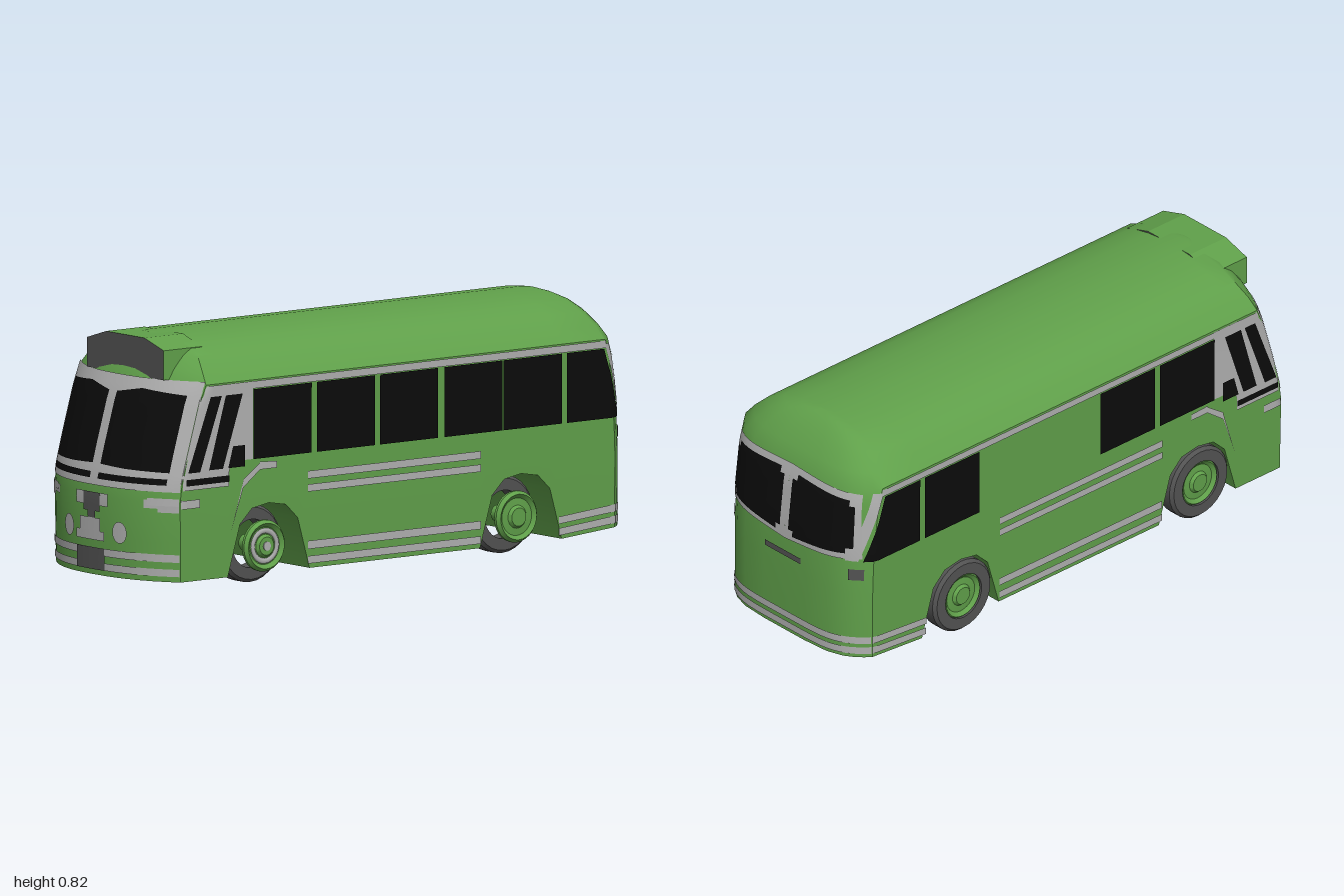
import * as THREE from 'three';
import { toCreasedNormals } from 'three/addons/utils/BufferGeometryUtils.js';

const mat = (name, color) => {
  const m = new THREE.MeshStandardMaterial({ color });
  m.name = name;
  return m;
};

// Body levels: y, half width, nose z, tail z, front corner depth, rear corner depth
const LEVELS = [
  [0.04, 0.325, 0.996, -1.0, 0.1, 0.09],
  [0.30, 0.327, 1.0, -1.0, 0.1, 0.09],
  [0.36, 0.327, 0.992, -0.998, 0.1, 0.09],
  [0.46, 0.327, 0.965, -0.993, 0.1, 0.09],
  [0.62, 0.327, 0.918, -0.975, 0.1, 0.09],
  [0.68, 0.328, 0.893, -0.957, 0.1, 0.09],
  [0.72, 0.296, 0.873, -0.935, 0.09, 0.08],
  [0.765, 0.25, 0.845, -0.90, 0.08, 0.07],
  [0.795, 0.19, 0.82, -0.87, 0.06, 0.05],
  [0.812, 0.11, 0.80, -0.845, 0.04, 0.03],
  [0.82, 0.03, 0.78, -0.825, 0.02, 0.02],
];
const FP = 2.5, BP = 5; // roundness of the nose and tail in plan
const WHEELS = { front: 0.54, rear: -0.51 };

function level(y) {
  let i = 0;
  while (i < LEVELS.length - 2 && y > LEVELS[i + 1][0]) i++;
  const a = LEVELS[i], b = LEVELS[i + 1];
  const t = THREE.MathUtils.clamp((y - a[0]) / (b[0] - a[0]), 0, 1);
  const [, w, nose, tail, cf, cb] = a.map((v, k) => v + (b[k] - v) * t);
  return { w, nose, tail, cf, cb };
}

// Point on the body skin; a is x on the front and back, z on the sides
function skin(face, a, y, off) {
  const { w, nose, tail, cf, cb } = level(y);
  if (face === 'front' || face === 'back') {
    const f = Math.min(Math.abs(a) / w, 1);
    return face === 'front'
      ? [a, y, nose - cf * f ** FP + off]
      : [a, y, tail + cb * f ** BP - off];
  }
  let x = w;
  if (a > nose - cf) x = w * (Math.max(nose - a, 0) / cf) ** (1 / FP);
  if (a < tail + cb) x = w * (Math.max(a - tail, 0) / cb) ** (1 / BP);
  return [(face === 'left' ? 1 : -1) * (x + off), y, a];
}

function bodyGeometry() {
  // Half outline from the middle of the nose round to the middle of the tail
  const half = [0, 0.2, 0.4, 0.6, 0.75, 0.88, 1].map((f) => ({ face: 'front', f, b: 0.04 }));
  const arch = [[0.17, 0.04], [0.12, 0.21], [0.07, 0.258], [0, 0.27], [-0.07, 0.258], [-0.12, 0.21], [-0.17, 0.04]];
  for (const z of Object.values(WHEELS))
    for (const [dz, b] of arch) half.push({ face: 'side', z: z + dz - 0.01, b });
  for (const f of [1, 0.95, 0.88, 0.78, 0.6, 0.3, 0]) half.push({ face: 'back', f, b: 0.058 });

  const H = half.length - 1, N = 2 * H, pos = [], idx = [];
  const rings = [0, 0.5, 1, ...LEVELS.slice(2).map((l) => l[0])];
  rings.forEach((v, r) => {
    for (let i = 0; i < N; i++) {
      const c = half[i <= H ? i : N - i], s = i <= H ? -1 : 1;
      const y = r < 3 ? c.b + (0.3 - c.b) * v : v;
      if (c.face === 'side') pos.push(...skin(s > 0 ? 'left' : 'right', c.z, y, 0));
      else pos.push(...skin(c.face, s * c.f * level(y).w, y, 0));
    }
  });
  const quad = (a, b, c, d) => {
    if (a !== b && b !== c && a !== c) idx.push(a, b, c);
    if (a !== c && c !== d && a !== d) idx.push(a, c, d);
  };
  for (let r = 0; r < rings.length - 1; r++)
    for (let i = 0; i < N; i++) {
      const j = (i + 1) % N, p = r * N, q = p + N;
      quad(p + i, q + i, q + j, p + j);
    }
  // Floor with wheel tunnels, and the roof crown
  const top = (rings.length - 1) * N;
  for (let i = 0; i < H; i++) {
    const c = N - i - 1, d = (N - i) % N;
    quad(i, i + 1, c, d);
    quad(top + i, top + d, top + c, top + i + 1);
  }
  const g = new THREE.BufferGeometry();
  g.setAttribute('position', new THREE.Float32BufferAttribute(pos, 3));
  g.setIndex(idx);
  return toCreasedNormals(g, 0.6);
}

// Thin painted face lying on the skin, from four corners [a, y]
function paintGeometry(face, q, off, round) {
  const span = Math.max(Math.abs(q[1][0] - q[0][0]), Math.abs(q[2][0] - q[3][0]));
  const nu = Math.max(round ? 8 : 1, Math.ceil(span / 0.025));
  const nv = Math.max(round ? 8 : 1, Math.ceil(Math.abs(q[3][1] - q[0][1]) / 0.03));
  const g = new THREE.PlaneGeometry(1, 1, nu, nv), p = g.attributes.position;
  for (let i = 0; i < p.count; i++) {
    let u = p.getX(i) * 2, v = p.getY(i) * 2;
    if (round) [u, v] = [u * Math.sqrt(1 - v * v / 2), v * Math.sqrt(1 - u * u / 2)];
    const s = (u + 1) / 2, t = (v + 1) / 2;
    const [a, y] = [0, 1].map((k) =>
      (1 - t) * ((1 - s) * q[0][k] + s * q[1][k]) + t * ((1 - s) * q[3][k] + s * q[2][k]));
    p.setXYZ(i, ...skin(face, a, y, off));
  }
  const flip = (face === 'back' || face === 'left') !== (q[1][0] + q[2][0] < q[0][0] + q[3][0]);
  if (flip) g.index.array.reverse();
  g.computeVertexNormals();
  return g;
}

export function createModel() {
  const green = mat('bodyGreen', 0x60a04a), silver = mat('silverTrim', 0xb0b0b0);
  const glass = mat('blackGlass', 0x0b0b0b), dark = mat('darkGrey', 0x525252);
  const bus = new THREE.Group();
  bus.name = 'bus';
  const add = (name, geo, m, parent = bus) => {
    const mesh = new THREE.Mesh(geo, m);
    mesh.name = name;
    parent.add(mesh);
    return mesh;
  };
  const paint = (name, face, q, m, off = 0.004, round = false) => add(name, paintGeometry(face, q, off, round), m);
  const rect = (a0, a1, y0, y1) => [[a0, y0], [a1, y0], [a1, y1], [a0, y1]];

  add('body', bodyGeometry(), green);

  // Front: windscreen frame, bumper stripes and grille
  paint('windscreenFrame', 'front', rect(-0.326, 0.326, 0.335, 0.69), silver);
  for (const [y0, y1] of [[0.105, 0.13], [0.058, 0.082]])
    paint('frontStripe', 'front', rect(-0.325, 0.325, y0, y1), silver);
  for (const s of [-1, 1]) {
    const m = (q) => q.map(([x, y]) => [x * s, y]);
    paint('windscreen', 'front', m([[0.02, 0.405], [0.13, 0.4], [0.13, 0.658], [0.02, 0.638]]), glass, 0.007);
    paint('windscreen', 'front', m([[0.13, 0.4], [0.29, 0.397], [0.29, 0.645], [0.13, 0.658]]), glass, 0.007);
    paint('frontVent', 'front', m(rect(0.02, 0.288, 0.357, 0.377)), glass, 0.007);
    paint('cornerTrim', 'front', m(rect(0.23, 0.326, 0.29, 0.314)), silver);
    paint('cornerTrim', 'front', m(rect(0.265, 0.326, 0.268, 0.29)), silver);
    paint('headlight', 'front', m(rect(0.1, 0.16, 0.155, 0.226)), silver, 0.008, true);
  }
  for (const [a, b, c, d, m] of [
    [-0.085, -0.045, 0.27, 0.312, silver], [0.04, 0.078, 0.27, 0.312, silver],
    [-0.065, 0.04, 0.185, 0.228, silver], [-0.085, 0.06, 0.155, 0.185, silver],
    [-0.045, 0.04, 0.25, 0.312, dark], [-0.022, 0.017, 0.228, 0.25, dark],
    [-0.085, 0.06, 0.058, 0.13, dark],
  ]) paint('grillePanel', 'front', rect(a, b, c, d), m, 0.007);

  // Roof sign box
  const sign = new THREE.Shape([[-0.19, 0.69], [0.21, 0.69], [0.21, 0.787], [0.11, 0.818], [-0.09, 0.818], [-0.19, 0.787]]
    .map(([x, y]) => new THREE.Vector2(x, y)));
  add('signBox', new THREE.ExtrudeGeometry(sign, { depth: 0.16, bevelEnabled: false }), [dark, green]).position.z = 0.715;

  // Sides
  const windows = [[0.6, 0.357], [0.335, 0.094], [0.072, -0.169], [-0.196, -0.437], [-0.442, -0.684]];
  for (const face of ['left', 'right']) {
    paint('roofRail', face, rect(0.62, -0.87, 0.652, 0.676), silver);
    windows.forEach(([a, b], i) => {
      if (face === 'left' || i < 2 || i > 3) paint('sideWindow', face, rect(a, b, 0.42, 0.65), glass, 0.006);
    });
    paint('rearSideWindow', face, [[-0.705, 0.42], [-0.935, 0.42], [-0.86, 0.65], [-0.705, 0.65]], glass, 0.006);
    paint('rearPillar', face, [[-0.945, 0.42], [-0.97, 0.42], [-0.895, 0.665], [-0.865, 0.665]], silver);
    for (const [y0, y1] of [[0.335, 0.36], [0.292, 0.316], [0.103, 0.13], [0.055, 0.08]])
      paint('sideStripe', face, rect(0.37, -0.35, y0, y1), silver);
    for (const y of [0.09, 0.052])
      paint('rearSideStripe', face, [[-0.675, y], [-0.912, y + 0.02], [-0.912, y + 0.045], [-0.675, y + 0.024]], silver);
    // Cab windows with their trim
    paint('cabFrame', face, [[0.905, 0.335], [0.7, 0.385], [0.6, 0.676], [0.805, 0.676]], silver);
    paint('cabFrame', face, rect(0.7, 0.6, 0.42, 0.676), silver, 0.003);
    paint('quarterWindow', face, [[0.872, 0.397], [0.822, 0.397], [0.732, 0.64], [0.778, 0.64]], glass, 0.007);
    paint('cabWindow', face, [[0.785, 0.4], [0.727, 0.4], [0.645, 0.64], [0.715, 0.64]], glass, 0.007);
    paint('cabWindow', face, [[0.705, 0.4], [0.635, 0.4], [0.635, 0.47], [0.685, 0.47]], glass, 0.007);
    paint('cabVent', face, rect(0.88, 0.7, 0.355, 0.376), glass, 0.007);
    paint('cabTrim', face, rect(0.905, 0.7, 0.34, 0.39), silver, 0.004);
    paint('cabTrim', face, rect(0.965, 0.82, 0.28, 0.308), silver);
    const curve = [[0.69, 0.19], [0.64, 0.33], [0.57, 0.383], [0.5, 0.383]];
    for (let i = 0; i < 3; i++) {
      const [a, b] = [curve[i], curve[i + 1]];
      paint('cabSweep', face, [a, b, [b[0], b[1] + 0.022], [a[0] - (i ? 0 : 0.008), a[1] + 0.026]], silver);
    }
  }

  // Back
  paint('rearFrame', 'back', [[-0.305, 0.43], [0, 0.405], [0, 0.672], [-0.29, 0.66]], silver);
  paint('rearFrame', 'back', [[0, 0.405], [0.305, 0.43], [0.29, 0.66], [0, 0.672]], silver);
  for (const s of [-1, 1]) {
    const m = (q) => q.map(([x, y]) => [x * s, y]);
    paint('rearWindow', 'back', m([[0.04, 0.425], [0.26, 0.448], [0.26, 0.638], [0.04, 0.65]]), glass, 0.007);
    paint('rearWindow', 'back', m([[0.02, 0.445], [0.283, 0.468], [0.278, 0.618], [0.02, 0.63]]), glass, 0.0075);
    paint('tailLight', 'back', m(rect(0.27, 0.31, 0.35, 0.39)), dark);
  }
  paint('rearHandle', 'back', rect(-0.08, 0.09, 0.34, 0.36), dark);
  for (const [y0, y1] of [[0.11, 0.135], [0.072, 0.097]])
    paint('rearStripe', 'back', rect(-0.325, 0.325, y0, y1), silver);

  // Wheels: tyre, dished hub and stub axle
  const lathe = (pts) => toCreasedNormals(
    new THREE.LatheGeometry(pts.map(([r, h]) => new THREE.Vector2(r, h)), 28).rotateZ(-Math.PI / 2), 0.5);
  const tyre = lathe([[0.08, -0.035], [0.118, -0.035], [0.128, -0.024], [0.128, 0.024], [0.118, 0.035], [0.08, 0.035], [0.08, -0.035]]);
  const hub = lathe([[0, -0.01], [0.085, -0.01], [0.085, 0], [0.075, 0.012], [0.062, 0.001], [0.038, 0.003], [0.03, 0.013], [0, 0.013]]);
  const axle = new THREE.CylinderGeometry(0.028, 0.028, 0.1, 16).rotateZ(Math.PI / 2);
  for (const [end, z] of Object.entries(WHEELS))
    for (const s of [1, -1]) {
      const wheel = new THREE.Group();
      wheel.name = end + (s > 0 ? 'Left' : 'Right') + 'Wheel';
      wheel.position.set(0, 0.128, z);
      add('tyre', tyre, dark, wheel).position.x = s > 0 ? 0.215 : -0.295;
      add('hub', hub, green, wheel).position.x = s > 0 ? 0.315 : -0.315;
      add('axle', axle, green, wheel).position.x = s * 0.265;
      if (s > 0 && end === 'front') {
        add('hubRing', new THREE.TorusGeometry(0.05, 0.009, 6, 28).rotateY(Math.PI / 2).scale(0.5, 1, 1), silver, wheel).position.x = 0.318;
        add('hubCap', new THREE.CylinderGeometry(0.015, 0.015, 0.008, 16).rotateZ(Math.PI / 2), silver, wheel).position.x = 0.327;
      }
      if (s < 0) {
        wheel.children[1].rotation.y = Math.PI;
        add('innerHub', hub, green, wheel).position.x = -0.262;
      }
      bus.add(wheel);
    }
  return bus;
}
